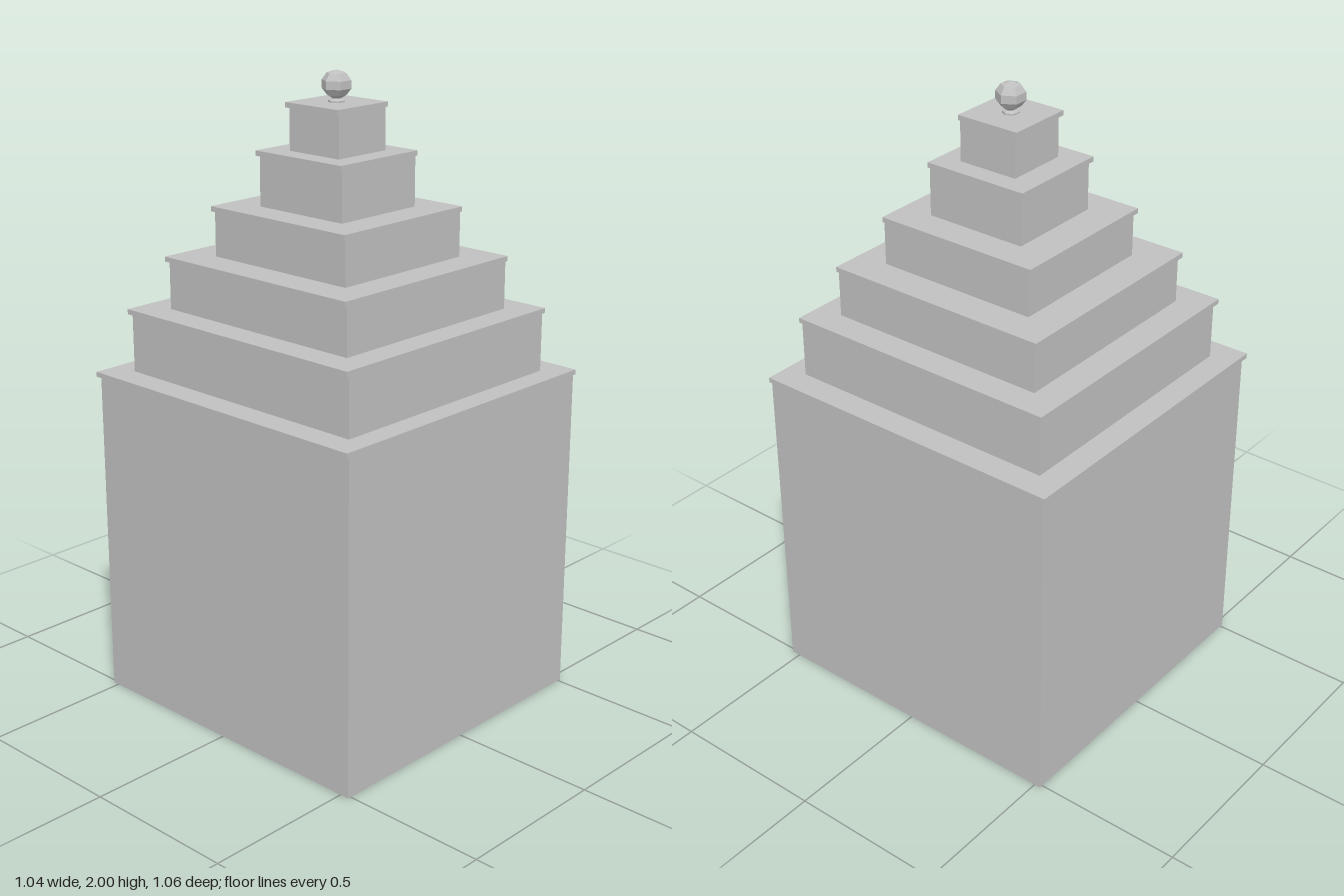
import * as THREE from 'three';

// Each tier: rim half width (x), rim half depth (z), wall inset in x, top height
const TIERS = [
  [0.52, 0.532, 0.009, 1.07],
  [0.445, 0.461, 0.01, 1.27],
  [0.361, 0.376, 0.008, 1.435],
  [0.259, 0.276, 0.006, 1.59],
  [0.167, 0.175, 0.007, 1.76],
  [0.108, 0.107, 0.007, 1.905],
];
const RIM = 0.016;

// Four upright walls, open above and below
function wallGeometry(x0, x1, z0, z1, y0, y1) {
  const corners = [[x0, z1], [x1, z1], [x1, z0], [x0, z0]];
  const positions = [];
  corners.forEach(([ax, az], i) => {
    const [bx, bz] = corners[(i + 1) % 4];
    positions.push(ax, y0, az, bx, y0, bz, bx, y1, bz);
    positions.push(ax, y0, az, bx, y1, bz, ax, y1, az);
  });
  const geometry = new THREE.BufferGeometry();
  geometry.setAttribute('position', new THREE.Float32BufferAttribute(positions, 3));
  geometry.computeVertexNormals();
  return geometry;
}

export function createModel() {
  const model = new THREE.Group();
  model.name = 'steppedTower';
  const stone = new THREE.MeshStandardMaterial({ color: 0xc0c0c0, side: THREE.DoubleSide, flatShading: true });
  stone.name = 'stone grey';

  const add = (name, geometry, y = 0) => {
    const mesh = new THREE.Mesh(geometry, stone);
    mesh.name = name;
    mesh.position.y = y;
    model.add(mesh);
    return mesh;
  };

  // Hollow walls with a thin overhanging slab on each tier
  let bottom = 0;
  TIERS.forEach(([hx, hz, inset, top], i) => {
    const wx = hx - inset;
    const walls = wallGeometry(-wx, wx, -hz + 0.011, hz - 0.002, bottom, top - RIM);
    add(i === 0 ? 'baseWalls' : `tierWalls${i}`, walls);
    add(i === 0 ? 'baseRim' : `tierRim${i}`, new THREE.BoxGeometry(hx * 2, RIM, hz * 2), top - RIM / 2);
    bottom = top;
  });

  // Six-sided finial: foot, neck and faceted ball
  const profile = [
    [0.026, 1.903], [0.026, 1.91], [0.014, 1.916], [0.03, 1.926],
    [0.045, 1.945], [0.045, 1.97], [0.03, 1.991], [0, 2],
  ].map(([r, y]) => new THREE.Vector2(r, y));
  add('finial', new THREE.LatheGeometry(profile, 6)).rotation.y = Math.PI / 6;

  return model;
}
